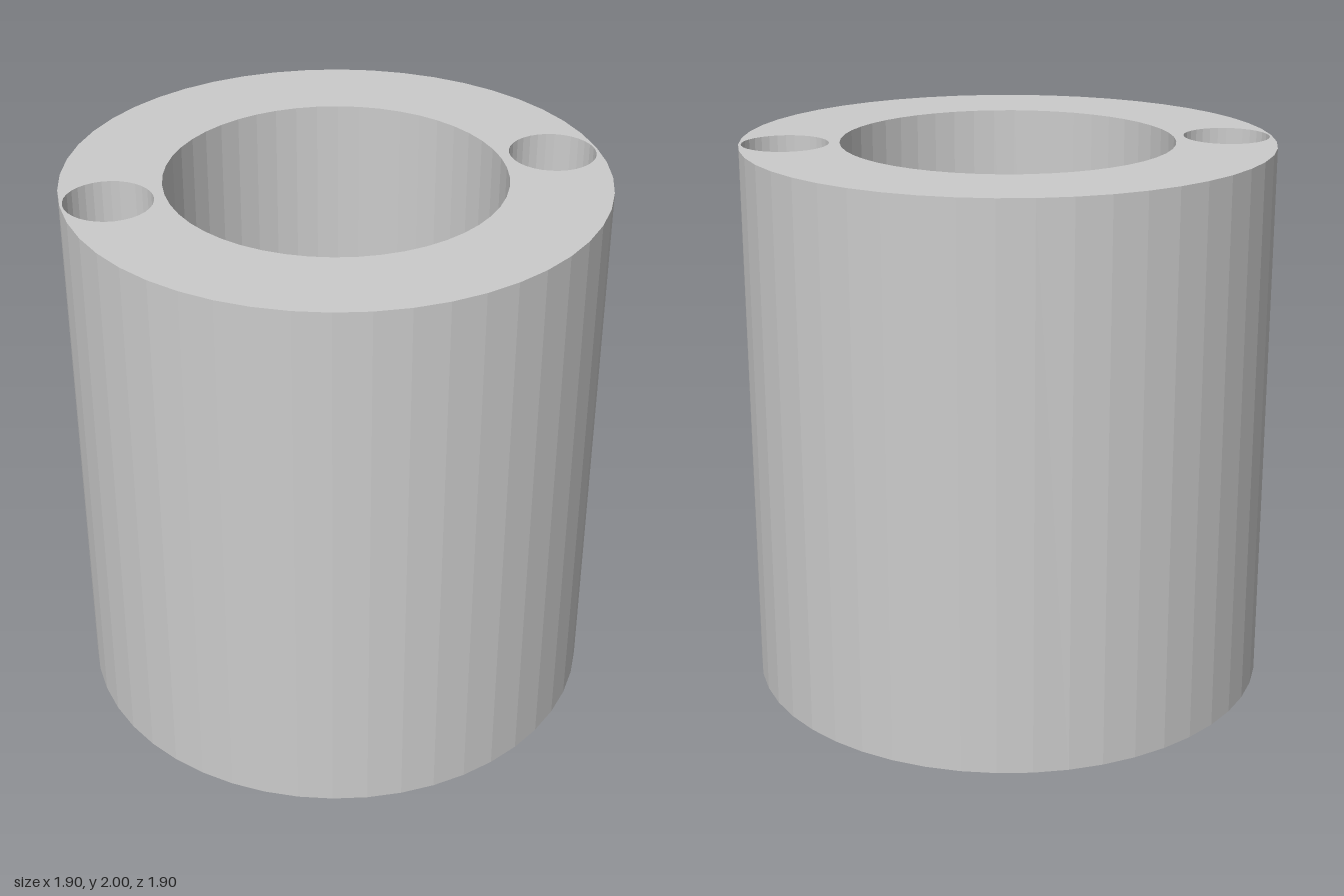
import * as THREE from 'three';

const HEIGHT = 2;
const OUTER_RADIUS = 0.95;
const BORE_RADIUS = 0.596;
const PIN_RADIUS = 0.154;
const PIN_OFFSET = 0.787;

// Regular polygon outline centred on (cx, 0)
function ring(radius, sides, cx = 0) {
  const points = [];
  for (let i = 0; i < sides; i++) {
    const a = (i / sides) * Math.PI * 2;
    points.push(new THREE.Vector2(cx + radius * Math.cos(a), radius * Math.sin(a)));
  }
  return points;
}

export function createModel() {
  const group = new THREE.Group();
  group.name = 'spacer';

  // Sleeve cross-section: central bore and a through hole on each side
  const section = new THREE.Shape(ring(OUTER_RADIUS, 48));
  section.holes.push(new THREE.Path(ring(BORE_RADIUS, 48)));
  for (const side of [-1, 1]) {
    section.holes.push(new THREE.Path(ring(PIN_RADIUS, 32, side * PIN_OFFSET)));
  }

  // Extrude the section upward from the ground
  const geometry = new THREE.ExtrudeGeometry(section, { depth: HEIGHT, bevelEnabled: false });
  geometry.rotateX(-Math.PI / 2);

  const material = new THREE.MeshStandardMaterial({ color: 0xcccccc, flatShading: true });
  const sleeve = new THREE.Mesh(geometry, material);
  sleeve.name = 'sleeve';
  group.add(sleeve);
  return group;
}
